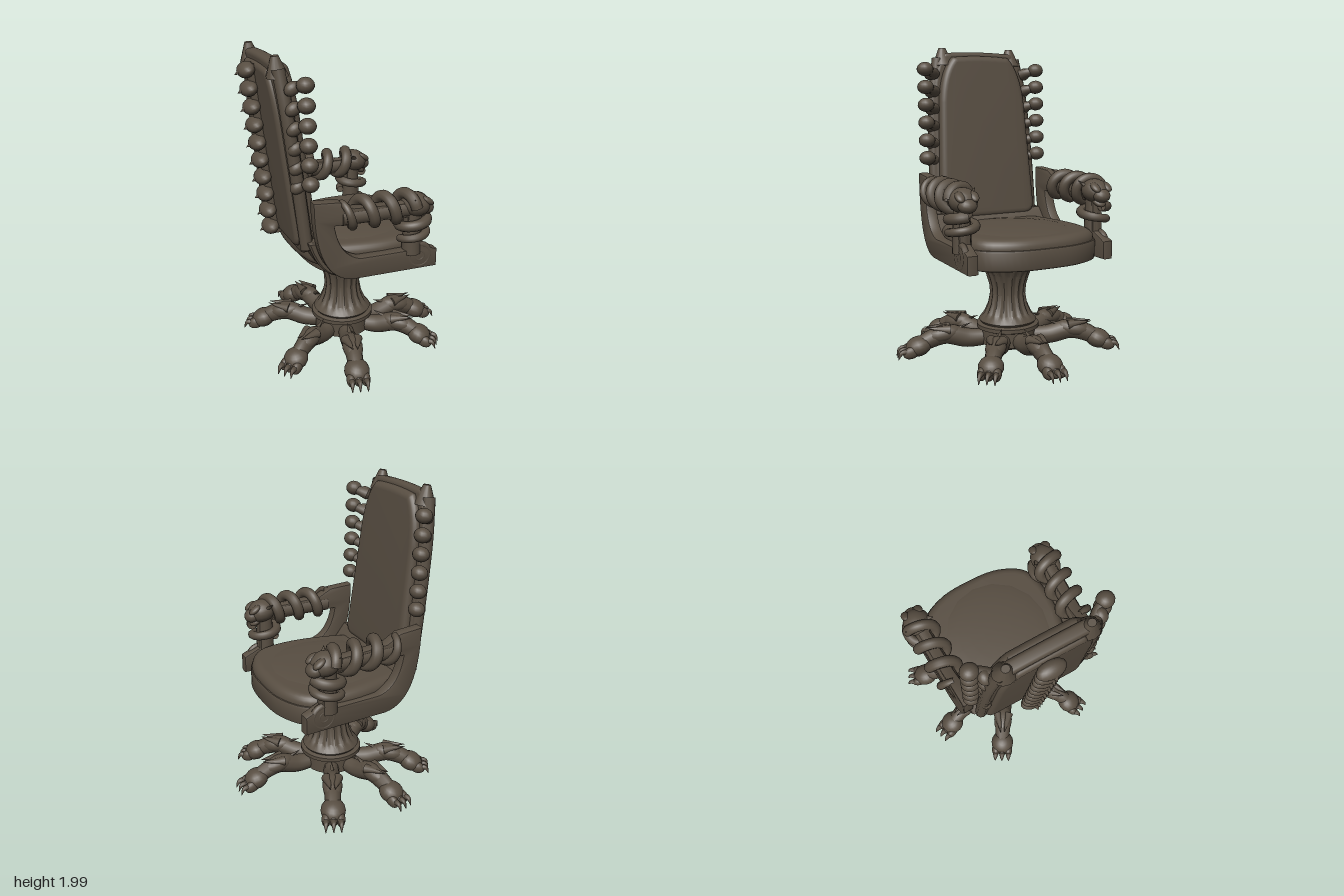
import * as THREE from 'three';
import { toCreasedNormals } from 'three/addons/utils/BufferGeometryUtils.js';

const wood = new THREE.MeshStandardMaterial({ color: 0x584e42, side: THREE.DoubleSide });
wood.name = 'dark brown wood';
const V = (x, y, z = 0) => new THREE.Vector3(x, y, z);

function add(parent, name, geo, pos = [0, 0, 0], rot = [0, 0, 0], scale = [1, 1, 1]) {
  const m = new THREE.Mesh(geo, wood);
  m.name = name;
  m.position.set(...pos);
  m.rotation.set(...rot);
  m.scale.set(...scale);
  parent.add(m);
}

function group(parent, name, pos = [0, 0, 0], rot = [0, 0, 0]) {
  const g = new THREE.Group();
  g.name = name;
  g.position.set(...pos);
  g.rotation.set(...rot);
  parent.add(g);
  return g;
}

const ball = new THREE.SphereGeometry(1, 16, 12);
const cone = new THREE.ConeGeometry(1, 1, 10);

// Tube along points whose thickness follows radius(t)
function sweep(points, radius, steps = 32, sides = 10) {
  const curve = new THREE.CatmullRomCurve3(points);
  const geo = new THREE.TubeGeometry(curve, steps, 1, sides);
  const p = geo.attributes.position, v = new THREE.Vector3();
  for (let i = 0; i <= steps; i++) {
    const c = curve.getPointAt(i / steps), r = radius(i / steps);
    for (let j = 0; j <= sides; j++) {
      const k = i * (sides + 1) + j;
      v.fromBufferAttribute(p, k).sub(c).multiplyScalar(r).add(c);
      p.setXYZ(k, v.x, v.y, v.z);
    }
  }
  return geo;
}

// Bevelled slab, centred on its thickness
function slab(shape, depth, bevel, segments = 4) {
  const geo = new THREE.ExtrudeGeometry(shape, {
    depth: depth - 2 * bevel, bevelThickness: bevel, bevelSize: bevel, bevelOffset: -bevel,
    bevelSegments: segments, curveSegments: 16,
  });
  geo.translate(0, 0, -depth / 2 + bevel);
  return toCreasedNormals(geo, 0.7);
}

// Smooth seat outline, mirrored across its length
function seatShape(k, rear) {
  const half = [[0.49, 0], [0.465, 0.23], [0.36, 0.4], [0.15, 0.45], [-0.1, 0.425], [rear + 0.06, 0.35], [rear, 0.2]];
  const pts = [...half, ...half.slice(1).reverse().map(([x, y]) => [x, -y])];
  const curve = new THREE.CatmullRomCurve3(pts.map(([x, y]) => V(x * k, y * k)), true);
  return new THREE.Shape(curve.getPoints(64).map(p => new THREE.Vector2(p.x, p.y)));
}

function backShape(bottom, top, y0, y1, r) {
  const s = new THREE.Shape();
  s.moveTo(-bottom + r, y0).lineTo(bottom - r, y0).quadraticCurveTo(bottom, y0, bottom, y0 + r);
  s.lineTo(top + 0.02, y1 - 0.3).quadraticCurveTo(top, y1 - r, top - r, y1);
  s.quadraticCurveTo(0, y1 + 0.02, r - top, y1).quadraticCurveTo(-top, y1 - r, -top - 0.02, y1 - 0.3);
  s.lineTo(-bottom, y0 + r).quadraticCurveTo(-bottom, y0, r - bottom, y0);
  return s;
}

// Clawed foot pointing along +x
function buildLeg(parent, angle, length) {
  const leg = group(parent, 'clawedLeg', [0, 0, 0], [0, -angle * Math.PI / 180, 0]);
  leg.scale.x = length / 0.71;
  add(leg, 'legLimb', sweep([V(0.1, 0.11), V(0.26, 0.11), V(0.4, 0.145), V(0.5, 0.12), V(0.59, 0.07)],
    t => 0.05 + 0.015 * Math.sin(t * Math.PI)), [0, 0, 0], [0, 0, 0], [1, 1, 0.9]);
  add(leg, 'legThigh', ball, [0.42, 0.15, 0], [0, 0, -0.15], [0.12, 0.055, 0.065]);
  add(leg, 'paw', ball, [0.58, 0.078, 0], [0, 0, -0.3], [0.085, 0.064, 0.08]);
  // Tufts on the knee and a ridge toward the hub
  for (const s of [-1, 1])
    add(leg, 'kneeTuft', cone, [0.46, 0.19, s * 0.025], [0, s * 0.15, -1.45], [0.032, 0.16, 0.035]);
  add(leg, 'legRidge', cone, [0.33, 0.175, 0], [0, 0, 1.2], [0.025, 0.2, 0.04]);
  for (const s of [-1, 0, 1]) {
    const toe = group(leg, 'toe', [0.575, 0, s * 0.042], [0, -s * 0.05, 0]);
    add(toe, 'toeJoint', ball, [0.055, 0.052, 0], [0, 0, -0.3], [0.055, 0.04, 0.03]);
    add(toe, 'claw', sweep([V(0.07, 0.055), V(0.115, 0.055), V(0.138, 0.01)],
      t => 0.024 * (1 - t) + 0.002, 10, 8));
  }
}

// Arm side frame with coiled serpent; s is the side
function buildArm(parent, s) {
  const arm = group(parent, 'armrest', [0, 0, s * 0.46 + 0.01], [0, -s * 0.04, 0]);
  const f = new THREE.Shape();
  f.moveTo(-0.38, 1.18).quadraticCurveTo(-0.38, 0.68, -0.13, 0.655);
  f.lineTo(0.43, 0.655).lineTo(0.43, 0.77).lineTo(0.32, 0.82).lineTo(0.31, 1.1);
  f.lineTo(-0.13, 1.12).lineTo(-0.22, 1.17).lineTo(-0.38, 1.18);
  const h = new THREE.Path();
  h.moveTo(-0.25, 1.02).lineTo(0.22, 1.01).lineTo(0.22, 0.79).lineTo(-0.08, 0.79);
  h.quadraticCurveTo(-0.22, 0.82, -0.25, 1.02);
  f.holes.push(h);
  add(arm, 'armFrame', slab(f, 0.075, 0.012, 2));
  add(arm, 'armRail', new THREE.CylinderGeometry(0.052, 0.052, 0.5, 16), [0.05, 1.06, 0], [0, 0, Math.PI / 2]);
  add(arm, 'armPost', new THREE.CylinderGeometry(0.05, 0.06, 0.3, 16), [0.265, 0.91, 0]);
  // Serpent body round the rail, then round the post
  const rail = [], post = [];
  for (let i = 0; i <= 48; i++) {
    const t = i / 48, a = t * Math.PI * 6.5;
    rail.push(V(-0.2 + 0.46 * t, 1.08 + 0.075 * Math.cos(a), s * 0.08 * Math.sin(a)));
  }
  for (let i = 0; i <= 28; i++) {
    const t = i / 28, a = t * Math.PI * 3;
    post.push(V(0.27 + 0.085 * Math.cos(a), 0.99 - 0.12 * t, s * 0.08 * Math.sin(a)));
  }
  add(arm, 'railSerpent', sweep(rail, t => 0.02 + 0.016 * Math.min(1, t * 5), 160));
  add(arm, 'postSerpent', sweep(post, t => 0.036 - 0.012 * t, 80));
  // Scroll at the foot of the post
  for (const r of [0.07, 0.03])
    add(arm, 'scroll', new THREE.TorusGeometry(r, 0.02, 8, 24), [0.31, 0.745, s * 0.02]);
  // Beast head on the front of the rail
  const head = group(arm, 'beastHead', [0.285, 1.08, 0], [0, 0, -0.2]);
  add(head, 'skull', ball, [0, 0, 0], [0, 0, 0], [0.095, 0.075, 0.09]);
  add(head, 'muzzle', ball, [0.07, -0.01, 0], [0, 0, -0.2], [0.055, 0.045, 0.06]);
  add(head, 'jaw', ball, [0.05, -0.055, 0], [0, 0, -0.4], [0.055, 0.025, 0.045]);
  for (const k of [-1, 1]) {
    add(head, 'brow', ball, [0.055, 0.04, k * 0.045], [0, 0, -0.4], [0.045, 0.02, 0.03]);
    add(head, 'ear', cone, [-0.04, 0.035, k * 0.075], [k * 0.9, 0, 0.6], [0.03, 0.08, 0.02]);
  }
}

function buildBackrest(parent) {
  const back = group(parent, 'backrest', [-0.37, 0.85, 0], [0, 0, 0.115]);
  const turn = [0, Math.PI / 2, 0];
  add(back, 'backFrame', slab(backShape(0.38, 0.335, -0.04, 1.125, 0.08), 0.08, 0.025), [-0.005, 0, 0], turn);
  add(back, 'frontCushion', slab(backShape(0.355, 0.3, 0.0, 1.095, 0.09), 0.09, 0.042, 6), [0.035, 0, 0], turn);
  add(back, 'rearPanel', slab(backShape(0.345, 0.285, 0.0, 1.08, 0.08), 0.07, 0.03), [-0.035, 0, 0], turn);
  // Knuckled spine down the middle of the rear
  add(back, 'spine', sweep([V(-0.07, -0.02, -0.03), V(-0.075, 0.5, -0.03), V(-0.07, 1.08, -0.03)], () => 0.035));
  for (let i = 0; i < 10; i++) {
    const y = 0.03 + i * 0.113;
    add(back, 'spineKnuckle', ball, [-0.11, y, -0.03], [0, 0, 0.5], [0.055, 0.045, 0.09]);
    add(back, 'spinePoint', cone, [-0.145, y - 0.005, -0.03], [0, 0, 1.9], [0.038, 0.08, 0.05]);
  }
  for (const s of [-1, 1]) {
    // Moulded edge, blunt top ear and the row of knobs in front of the edge
    add(back, 'frameEdge', sweep([V(-0.01, 0, s * 0.36), V(-0.01, 0.4, s * 0.355), V(-0.01, 0.85, s * 0.33),
      V(-0.01, 1.09, s * 0.29)], () => 0.04));
    add(back, 'topEar', new THREE.CylinderGeometry(0.025, 0.075, 0.12, 12), [-0.01, 1.1, s * 0.255], [0, 0, 0], [0.9, 1, 1]);
    for (let i = 0; i < 6; i++) {
      const knob = group(back, 'knob', [0.045 + 0.009 * i, 0.42 + i * 0.116, s * 0.388 + 0.01]);
      add(knob, 'knobStem', sweep([V(-0.06, -0.02, -s * 0.06), V(-0.03, -0.01, -s * 0.03), V(0, 0, s * 0.02)],
        t => 0.038 - 0.012 * t, 8));
      add(knob, 'knobBall', ball, [0, 0.005, s * 0.03], [0, 0, 0], [0.052, 0.046, 0.055]);
      add(knob, 'knobLeaf', ball, [-0.06, -0.015, -s * 0.03], [0, 0, 0.5], [0.05, 0.04, 0.04]);
    }
  }
}

export function createModel() {
  const model = new THREE.Group();
  model.name = 'carvedSwivelChair';

  // Fluted pedestal and hub
  const profile = [[0, 0.045], [0.13, 0.045], [0.18, 0.07], [0.18, 0.165], [0.205, 0.175], [0.205, 0.2], [0.18, 0.21],
    [0.19, 0.225], [0.175, 0.245], [0.15, 0.27], [0.125, 0.33], [0.113, 0.4], [0.118, 0.46], [0.138, 0.53],
    [0.165, 0.58], [0.185, 0.585], [0.185, 0.625], [0.175, 0.635], [0.175, 0.67], [0, 0.67]];
  const column = new THREE.LatheGeometry(profile.map(p => new THREE.Vector2(...p)), 112);
  const p = column.attributes.position;
  for (let i = 0; i < p.count; i++) {
    const y = p.getY(i);
    if (y < 0.26 || y > 0.57) continue;
    const k = 1 + 0.045 * Math.cos(16 * Math.atan2(p.getZ(i), p.getX(i)));
    p.setXYZ(i, p.getX(i) * k, y, p.getZ(i) * k);
  }
  add(model, 'pedestal', toCreasedNormals(column, 0.5));

  // Seven legs: bearing in degrees from +x, reach
  const legs = [[-15, 0.68], [23, 0.66], [88, 0.73], [130, 0.66], [195, 0.68], [237, 0.69], [280, 0.74]];
  for (const [a, r] of legs) buildLeg(model, a, r);

  // Upper chair, swivelled on the pedestal
  const chair = group(model, 'swivelSeat', [0, 0, -0.025], [0, 0.28, 0]);
  add(chair, 'seatBase', slab(seatShape(1.02, -0.3), 0.13, 0.015, 2), [0, 0.72, 0], [-Math.PI / 2, 0, 0]);
  add(chair, 'seatCushion', slab(seatShape(1, -0.37), 0.14, 0.055, 6), [0, 0.775, 0], [-Math.PI / 2, 0, 0]);
  add(chair, 'cushionCrown', ball, [0.04, 0.832, 0], [0, 0, 0], [0.4, 0.032, 0.38]);
  const apron = new THREE.Shape();
  apron.moveTo(-0.2, 0.655).quadraticCurveTo(-0.32, 0.68, -0.39, 0.9);
  apron.lineTo(-0.32, 0.9).lineTo(-0.2, 0.75);
  add(chair, 'rearApron', slab(apron, 0.84, 0.01, 1));
  buildBackrest(chair);
  for (const s of [-1, 1]) buildArm(chair, s);
  return model;
}
